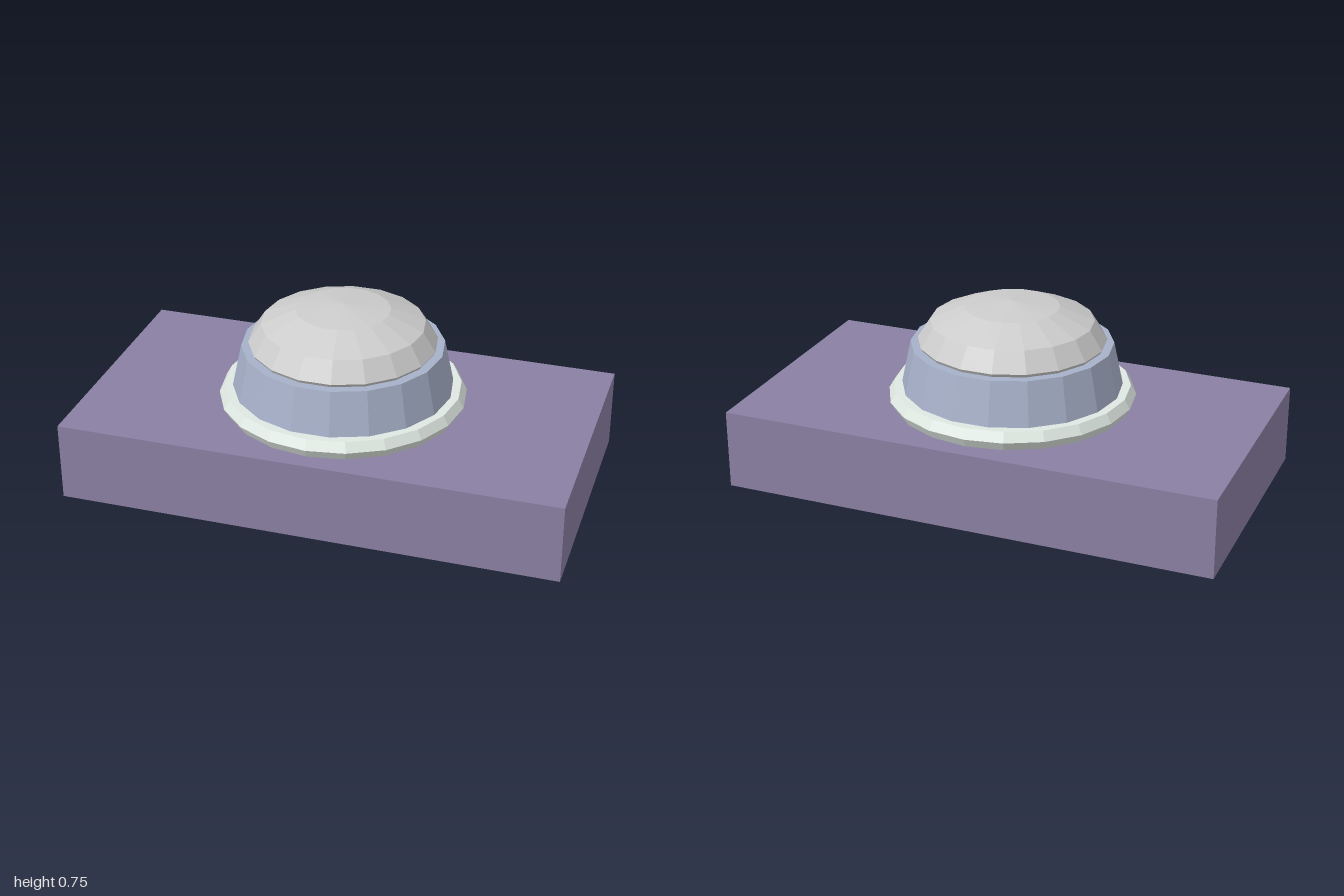
import * as THREE from 'three';

export function createModel() {
  const model = new THREE.Group();

  function addPart(name, geometry, color, y) {
    const material = new THREE.MeshStandardMaterial({ color, flatShading: true });
    const mesh = new THREE.Mesh(geometry, material);
    mesh.name = name;
    mesh.position.y = y;
    model.add(mesh);
    return mesh;
  }

  // Rectangular base slab
  addPart('base', new THREE.BoxGeometry(2, 0.32, 1.066), 0x8a7fa3, 0.16);

  // Six-sided trim ring lying around the foot of the housing
  const ring = new THREE.TorusGeometry(0.449, 0.0433, 6, 20).rotateX(Math.PI / 2);
  addPart('trimRing', ring, 0xdfe8e2, 0.3625);

  // Tapered housing, turned so that corners point along x
  const housing = new THREE.CylinderGeometry(0.401, 0.455, 0.253, 18).rotateY(Math.PI / 2);
  addPart('housing', housing, 0xa6b0c8, 0.4485);

  // Flattened push dome, sunk halfway into the housing
  const dome = new THREE.SphereGeometry(0.373, 18, 6).scale(1, 0.42, 1);
  addPart('dome', dome, 0xcccccc, 0.589);

  return model;
}
